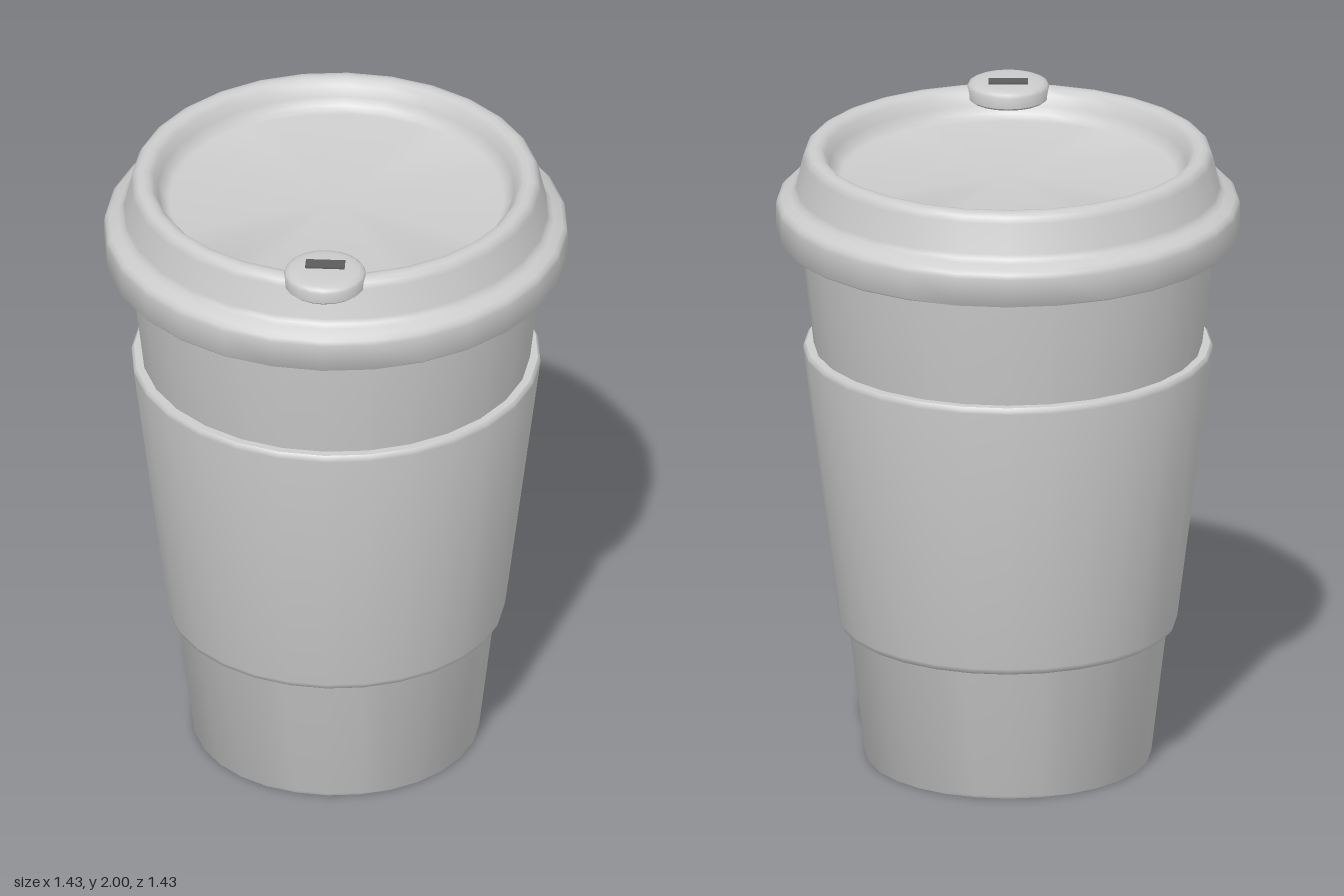
import * as THREE from 'three';
import { toCreasedNormals } from 'three/addons/utils/BufferGeometryUtils.js';

const grey = new THREE.MeshStandardMaterial({ color: 0xcccccc });
grey.name = 'light grey';
const dark = new THREE.MeshStandardMaterial({ color: 0x5c5c5c });
dark.name = 'dark grey';

// Round part turned from [radius, height] points, listed outside-upwards
function turned(name, profile, sides = 28) {
  const points = profile.map(([r, y]) => new THREE.Vector2(r, y));
  const geometry = toCreasedNormals(new THREE.LatheGeometry(points, sides), 0.75);
  const mesh = new THREE.Mesh(geometry, grey);
  mesh.name = name;
  return mesh;
}

export function createModel() {
  const model = new THREE.Group();
  model.name = 'takeawayCup';

  // Tapered cup with a flat base, running up inside the lid
  model.add(turned('cup', [[0, 0], [0.438, 0], [0.443, 0.01], [0.645, 1.72], [0.655, 1.81], [0, 1.81]]));

  // Sleeve with softened edges, closed against the cup wall
  model.add(turned('sleeve', [
    [0.485, 0.43], [0.51, 0.43], [0.519, 0.436], [0.523, 0.45],
    [0.632, 1.32], [0.632, 1.332], [0.625, 1.34], [0.595, 1.34],
  ]));

  // Lid: hollow skirt, stepped shoulder, rounded rim and sunken top
  model.add(turned('lid', [
    [0.64, 1.8], [0.68, 1.79], [0.695, 1.77], [0.695, 1.7], [0.712, 1.7], [0.717, 1.706],
    [0.717, 1.79], [0.714, 1.805], [0.702, 1.816], [0.675, 1.828], [0.661, 1.838], [0.655, 1.852],
    [0.634, 1.945], [0.627, 1.963], [0.615, 1.973], [0.598, 1.976],
    [0.58, 1.972], [0.565, 1.957], [0.552, 1.925], [0.54, 1.9], [0.524, 1.887], [0.515, 1.885], [0, 1.885],
  ]));

  // Drinking spout on the front of the rim
  const spout = new THREE.Group();
  spout.name = 'spout';
  spout.position.z = 0.585;
  spout.add(turned('spoutButton', [
    [0, 1.934], [0.117, 1.934], [0.125, 1.941], [0.127, 1.975],
    [0.122, 1.985], [0.108, 1.991], [0.085, 1.994], [0, 1.994],
  ], 20));
  const slot = new THREE.Mesh(new THREE.BoxGeometry(0.122, 0.009, 0.045), dark);
  slot.name = 'spoutSlot';
  slot.position.set(0, 1.9955, -0.019);
  spout.add(slot);
  model.add(spout);

  return model;
}
